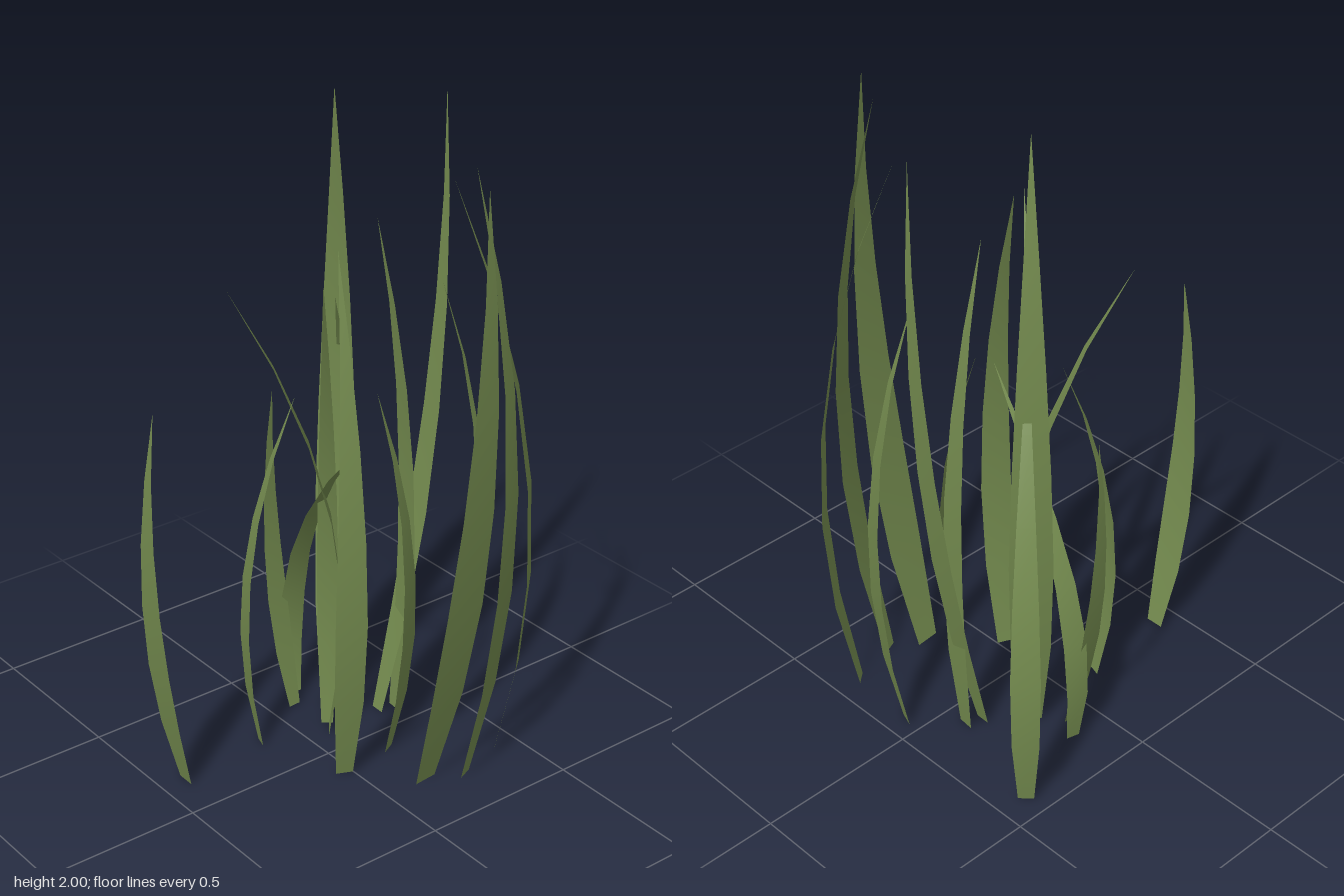
import * as THREE from 'three';

// Each blade: base x,z | outermost bulge x,z | tip x,z | height | widest width
const BLADES = [
  [-0.43, -0.41, -0.455, -0.44, -0.20, -0.18, 1.38, 0.085],
  [-0.195, -0.165, -0.30, -0.265, -0.23, -0.20, 2.0, 0.125],
  [-0.10, -0.27, -0.095, -0.502, -0.095, -0.495, 1.98, 0.083],
  [-0.08, -0.32, -0.075, -0.357, -0.086, -0.24, 1.65, 0.092],
  [-0.15, 0.42, -0.15, 0.525, -0.15, 0.49, 1.23, 0.103],
  [0.055, -0.435, 0.08, -0.515, 0.03, -0.385, 1.46, 0.085],
  [0.29, -0.41, 0.357, -0.462, 0.17, -0.30, 1.82, 0.085],
  [0.335, -0.255, 0.443, -0.303, 0.315, -0.25, 1.91, 0.098],
  [0.285, -0.143, 0.486, -0.165, 0.46, -0.167, 1.91, 0.14],
  [0.09, -0.16, 0.147, -0.19, 0.045, -0.14, 1.18, 0.09],
  [-0.34, -0.13, -0.362, -0.136, 0.11, -0.015, 1.06, 0.075],
  [-0.278, -0.083, -0.385, -0.075, -0.368, -0.076, 1.06, 0.075],
  [-0.135, -0.10, -0.158, -0.122, 0.10, 0.095, 1.59, 0.065],
  [-0.10, -0.08, -0.075, -0.113, -0.27, 0.155, 1.47, 0.085],
  [-0.175, 0.125, -0.185, 0.17, -0.135, 0.015, 1.15, 0.078],
  [0.11, 0.025, 0.183, 0.057, 0.03, -0.01, 1.64, 0.095],
];

// Relative width from root to tip
const TAPER = [0.55, 0.92, 1, 0.86, 0.62, 0.32, 0];

// A flat strip that arcs outward and then bends over along a parabola
function bladeGeometry([bx, bz, cx, cz, tx, tz, height, width]) {
  const base = new THREE.Vector2(bx, bz);
  const bulge = new THREE.Vector2(cx, cz).sub(base);
  const tip = new THREE.Vector2(tx, tz).sub(base);
  const out = bulge.clone().multiplyScalar(2).sub(tip).normalize();
  const reach = bulge.dot(out);
  const end = Math.min(tip.dot(out), reach);
  const rise = 2 * reach + 2 * Math.sqrt(reach * reach - reach * end);
  const drift = tip.clone().addScaledVector(out, -end);

  const positions = [];
  const index = [];
  const rows = TAPER.length - 1;
  TAPER.forEach((taper, i) => {
    const t = i / rows;
    const centre = base.clone()
      .addScaledVector(out, rise * t + (end - rise) * t * t)
      .addScaledVector(drift, t * t);
    const half = (taper * width) / 2;
    const sides = i === rows ? [0] : [-half, half];
    for (const s of sides) {
      positions.push(centre.x - out.y * s, t * height, centre.y + out.x * s);
    }
    const a = i * 2;
    if (i < rows - 1) index.push(a, a + 2, a + 1, a + 1, a + 2, a + 3);
    else if (i === rows - 1) index.push(a, a + 2, a + 1);
  });

  const geometry = new THREE.BufferGeometry();
  geometry.setAttribute('position', new THREE.Float32BufferAttribute(positions, 3));
  geometry.setIndex(index);
  geometry.computeVertexNormals();
  return geometry;
}

export function createModel() {
  const group = new THREE.Group();
  group.name = 'grassClump';
  const green = new THREE.MeshStandardMaterial({ color: 0x738a4e, side: THREE.DoubleSide });
  green.name = 'grassGreen';
  BLADES.forEach((blade, i) => {
    const mesh = new THREE.Mesh(bladeGeometry(blade), green);
    mesh.name = `grassBlade${i + 1}`;
    group.add(mesh);
  });
  return group;
}
